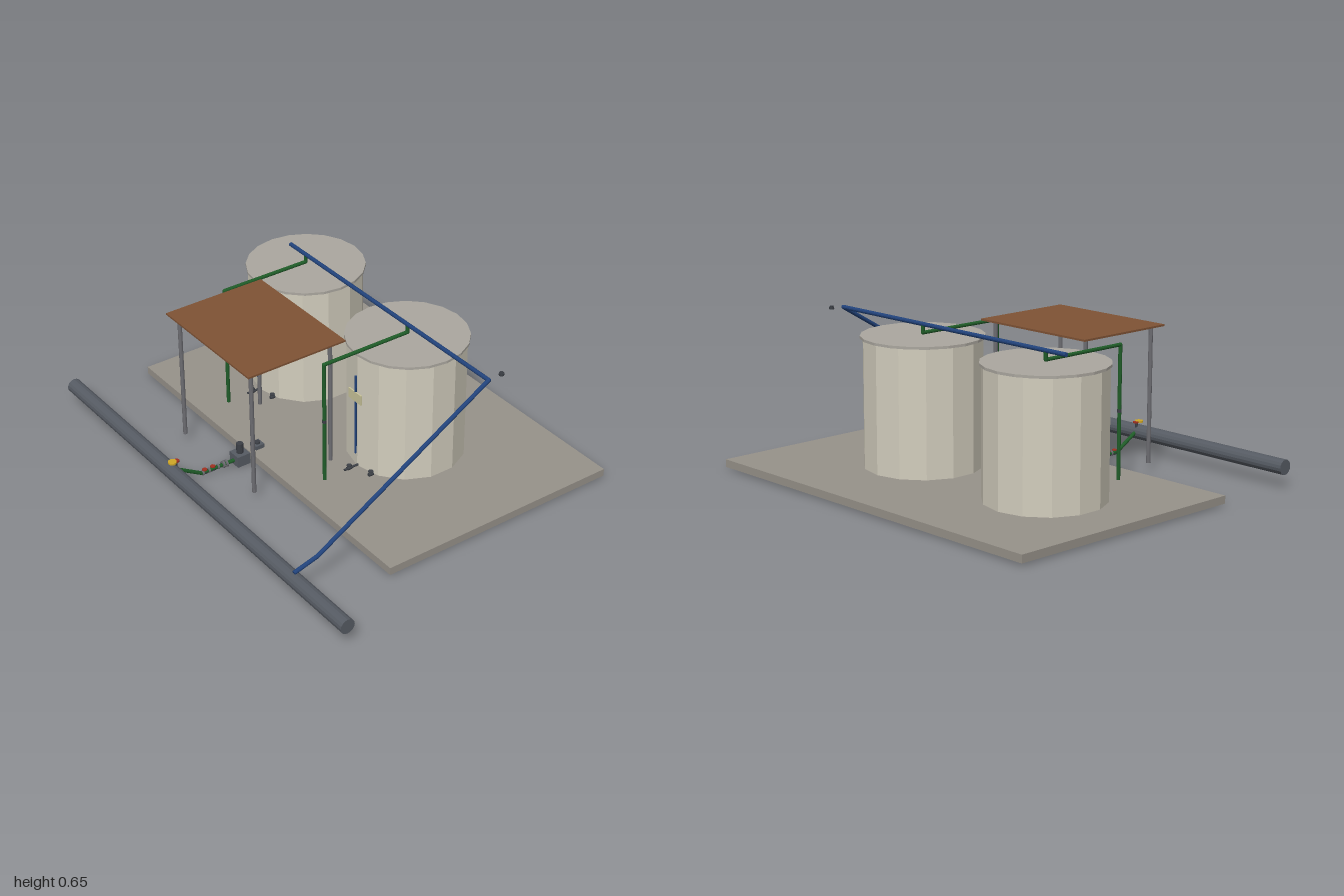
import * as THREE from 'three';

const COLORS = {
  concrete: 0x97928a, tank: 0xd2cdbd, lid: 0xaba79f, steel: 0x565b63, post: 0x6c6c71,
  roof: 0x7f5335, blue: 0x21427a, green: 0x1f5c28, dark: 0x3c4046, red: 0xa03020,
  yellow: 0xd0a828, panel: 0xc2beb2, sign: 0xc9c49a,
};
const mats = {};
function mat(name) {
  mats[name] ??= new THREE.MeshStandardMaterial({ color: COLORS[name], flatShading: true });
  return mats[name];
}

export function createModel() {
  const model = new THREE.Group();
  model.name = 'tankStation';

  const add = (parent, name, geometry, color, x, y, z) => {
    const mesh = new THREE.Mesh(geometry, mat(color));
    mesh.name = name;
    mesh.position.set(x, y, z);
    parent.add(mesh);
    return mesh;
  };
  const box = (parent, name, color, size, pos) =>
    add(parent, name, new THREE.BoxGeometry(...size), color, ...pos);
  const disc = (parent, name, color, r, h, pos, sides = 12) =>
    add(parent, name, new THREE.CylinderGeometry(r, r, h, sides), color, ...pos);

  // Straight pipe lengths joined by ball elbows
  const pipeRun = (parent, name, color, r, points) => {
    const run = new THREE.Group();
    run.name = name;
    const pts = points.map((p) => new THREE.Vector3(...p));
    for (let i = 1; i < pts.length; i++) {
      const dir = pts[i].clone().sub(pts[i - 1]);
      const mid = pts[i].clone().add(pts[i - 1]).multiplyScalar(0.5);
      const length = add(run, 'pipeLength',
        new THREE.CylinderGeometry(r, r, dir.length(), 10), color, mid.x, mid.y, mid.z);
      length.quaternion.setFromUnitVectors(new THREE.Vector3(0, 1, 0), dir.normalize());
      if (i < pts.length - 1) {
        add(run, 'elbow', new THREE.SphereGeometry(r, 10, 8), color, ...pts[i].toArray());
      }
    }
    parent.add(run);
    return run;
  };

  // Small valve: body, stem and handwheel
  const valve = (parent, name, pos, wheelColor = 'dark') => {
    const g = new THREE.Group();
    g.name = name;
    const body = disc(g, 'valveBody', 'dark', 0.008, 0.022, [0, 0, 0], 10);
    body.rotation.x = Math.PI / 2;
    disc(g, 'valveStem', 'dark', 0.003, 0.012, [0, 0.009, 0], 6);
    disc(g, 'valveWheel', wheelColor, 0.011, 0.004, [0, 0.014, 0]);
    g.position.set(...pos);
    parent.add(g);
  };

  // Ground slab
  box(model, 'slab', 'concrete', [1.775, 0.033, 1.105], [-0.1125, 0.0315, -0.2025]);

  // Two storage tanks with their own fittings
  const tankZ = -0.203;
  for (const x of [-0.557, 0.153]) {
    const tank = new THREE.Group();
    tank.name = 'tank';
    tank.position.x = x;
    model.add(tank);
    disc(tank, 'tankBody', 'tank', 0.25, 0.54, [0, 0.318, tankZ], 14);
    disc(tank, 'tankLid', 'lid', 0.257, 0.011, [0, 0.59, tankZ], 20);
    pipeRun(tank, 'levelGauge', 'blue', 0.005, [[0, 0.115, 0.056], [0, 0.49, 0.056]]);
    box(tank, 'tankSign', 'sign', [0.084, 0.045, 0.006], [0, 0.393, 0.058]);
    pipeRun(tank, 'feedPipe', 'green', 0.008,
      [[0, 0.048, 0.212], [0, 0.602, 0.212], [0, 0.602, tankZ], [0, 0.638, tankZ]]);
    disc(tank, 'pipeCollar', 'dark', 0.009, 0.014, [0, 0.333, 0.212], 10);
    valve(tank, 'outletValve', [0.003, 0.054, 0.09]);
    pipeRun(tank, 'outletPipe', 'dark', 0.005, [[0.003, 0.054, 0.04], [0.003, 0.054, 0.115]]);
    valve(tank, 'drainValve', [0.09, 0.054, 0.045]);
  }

  // Overhead header running down to the main pipe
  pipeRun(model, 'header', 'blue', 0.009, [
    [-0.668, 0.638, tankZ], [0.663, 0.638, tankZ], [0.663, 0.158, 0.612], [0.663, 0.128, 0.722],
  ]);
  disc(model, 'airVent', 'dark', 0.011, 0.01, [0.663, 0.642, -0.267]);
  disc(model, 'airVentCap', 'dark', 0.007, 0.006, [0.663, 0.649, -0.267]);

  // Main pipe across the front
  const main = disc(model, 'mainPipe', 'steel', 0.032, 2, [0, 0.093, 0.718], 16);
  main.rotation.z = Math.PI / 2;

  // Shelter: flat roof on four posts
  box(model, 'shelterRoof', 'roof', [0.598, 0.008, 0.465], [-0.204, 0.629, 0.2975]);
  for (const x of [-0.463, 0.055]) {
    for (const z of [0.112, 0.493]) {
      disc(model, 'shelterPost', 'post', 0.009, 0.577, [x, 0.3365, z], 10);
    }
  }
  box(model, 'controlPanel', 'panel', [0.125, 0.095, 0.014], [-0.338, 0.387, 0.112]);

  // Pump set with suction line from the main pipe
  const pump = new THREE.Group();
  pump.name = 'pumpSet';
  pump.position.x = -0.203;
  model.add(pump);
  box(pump, 'pumpBody', 'steel', [0.062, 0.05, 0.062], [0, 0.03, 0.39]);
  disc(pump, 'pumpMotor', 'dark', 0.015, 0.046, [0, 0.078, 0.39]);
  box(pump, 'filterBody', 'steel', [0.045, 0.06, 0.042], [0, 0.036, 0.303]);
  disc(pump, 'filterCap', 'dark', 0.012, 0.008, [0, 0.07, 0.303]);
  disc(pump, 'pressureGauge', 'yellow', 0.006, 0.006, [0, 0.076, 0.325]);
  pipeRun(pump, 'suctionPipe', 'green', 0.008,
    [[0, 0.093, 0.69], [0, 0.028, 0.58], [0, 0.026, 0.3]]);
  for (const z of [0.575, 0.545, 0.5, 0.475, 0.46]) {
    const flange = disc(pump, 'flange', 'post', z < 0.49 ? 0.016 : 0.011, 0.008, [0, 0.028, z]);
    flange.rotation.x = Math.PI / 2;
  }
  valve(pump, 'suctionValve', [0, 0.026, 0.525], 'red');
  valve(pump, 'checkValve', [0, 0.026, 0.565], 'red');

  // Tapping on top of the main pipe
  disc(pump, 'tappingStem', 'dark', 0.006, 0.03, [0, 0.122, 0.7], 8);
  disc(pump, 'tappingWheel', 'red', 0.012, 0.006, [0, 0.139, 0.696]);
  disc(pump, 'tappingCap', 'yellow', 0.018, 0.008, [0, 0.14, 0.716], 16);

  return model;
}
